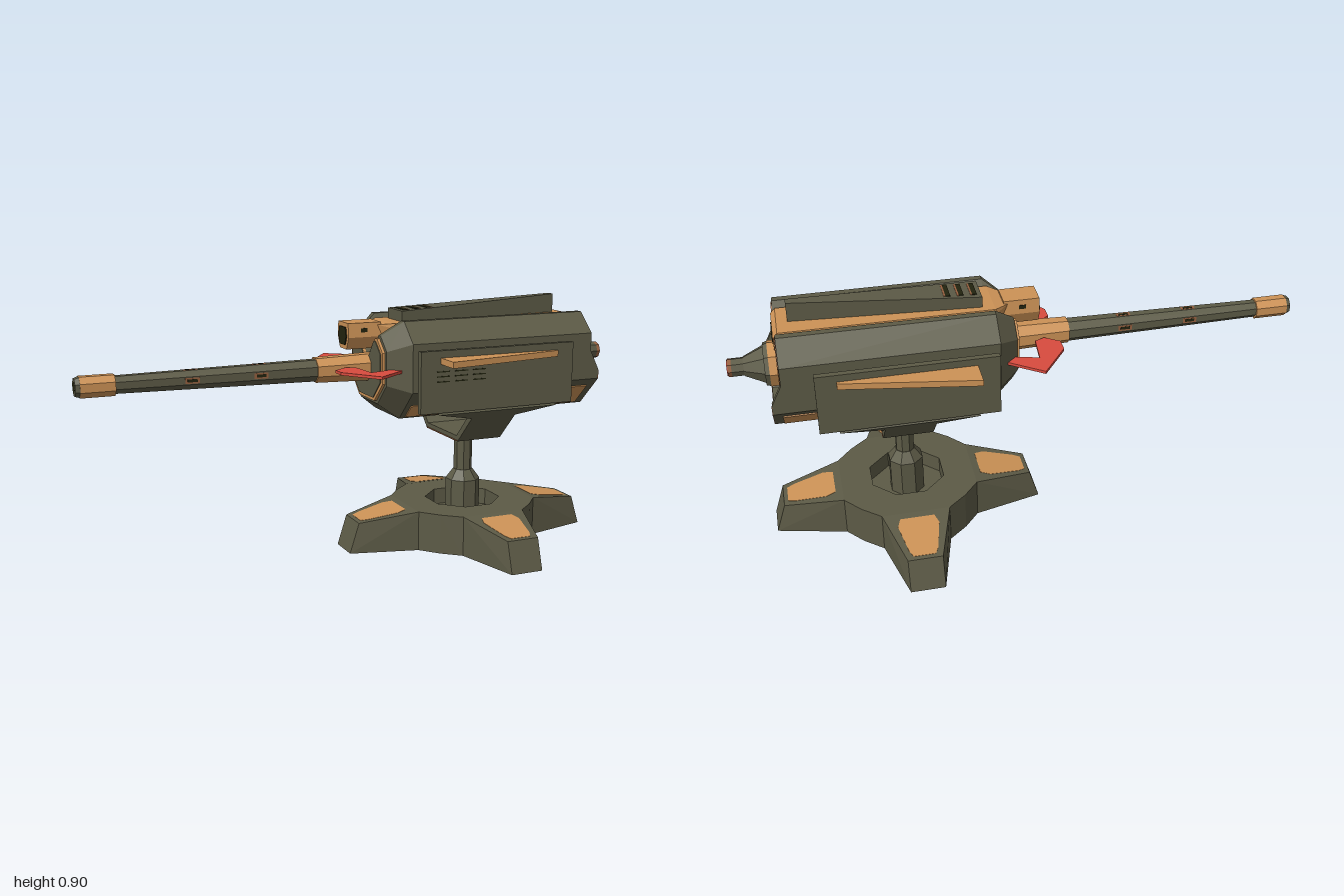
import * as THREE from 'three';
import { ConvexGeometry } from 'three/addons/geometries/ConvexGeometry.js';

const AXIS = 0.672; // height of the gun axis

export function createModel() {
  const root = new THREE.Group();
  root.name = 'mountedGun';
  const material = (name, color) => {
    const m = new THREE.MeshStandardMaterial({ color });
    m.name = name;
    return m;
  };
  const olive = material('olive', 0x5c5a46);
  const orange = material('orange', 0xcc9256);
  const red = material('red', 0xd84b3e);
  const rust = material('rust', 0x96603f);
  const dark = material('dark', 0x22230f);

  const add = (name, geometry, mat) => {
    const g = geometry.index ? geometry.toNonIndexed() : geometry;
    g.computeVertexNormals();
    const mesh = new THREE.Mesh(g, mat);
    mesh.name = name;
    root.add(mesh);
    return mesh;
  };
  const hull = (name, pts, mat) =>
    add(name, new ConvexGeometry(pts.map((p) => new THREE.Vector3(...p))), mat);
  const box = (name, x0, x1, y0, y1, z0, z1, mat) =>
    add(name, new THREE.BoxGeometry(x1 - x0, y1 - y0, z1 - z0)
      .translate((x0 + x1) / 2, (y0 + y1) / 2, (z0 + z1) / 2), mat);
  // Eight-sided tube along x
  const tube = (name, r0, r1, x0, x1, mat, turn = Math.PI / 8) =>
    add(name, new THREE.CylinderGeometry(r1, r0, x1 - x0, 8, 1, false, turn)
      .rotateZ(-Math.PI / 2).translate((x0 + x1) / 2, AXIS, 0), mat);
  // Eight-sided upright column
  const column = (name, r0, r1, y0, y1, x, mat) =>
    add(name, new THREE.CylinderGeometry(r1, r0, y1 - y0, 8, 1, false, Math.PI / 8)
      .translate(x, (y0 + y1) / 2, 0), mat);
  const shapeOf = (pts) => new THREE.Shape(pts.map((p) => new THREE.Vector2(...p)));
  // Mirror half of a [z, y] section into a closed outline
  const mirrored = (half) => [...half, ...half.map(([z, y]) => [-z, y]).reverse()];
  // Section run along x, scaled about the gun axis at each end
  const prism = (name, pts, x0, x1, mat, s0 = 1, s1 = 1) => {
    const g = new THREE.ExtrudeGeometry(shapeOf(pts), { depth: x1 - x0, bevelEnabled: false });
    g.rotateY(Math.PI / 2).translate(x0, 0, 0);
    const p = g.attributes.position;
    for (let i = 0; i < p.count; i++) {
      const s = p.getX(i) < (x0 + x1) / 2 ? s0 : s1;
      p.setY(i, AXIS + (p.getY(i) - AXIS) * s);
      p.setZ(i, p.getZ(i) * s);
    }
    return add(name, g, mat);
  };

  // Base: hub with an octagonal pit, four sloping arms
  const cx = 0.425;
  const rim = [];
  for (let k = 0; k < 4; k++) {
    const c = Math.round(Math.cos(k * Math.PI / 2)), s = Math.round(Math.sin(k * Math.PI / 2));
    for (const [u, v] of [[0.24, -0.12], [0.24, 0.12], [0.185, 0.185]])
      rim.push([u * c - v * s, u * s + v * c]);
    const at = (u, y, v) => [cx + u * c - v * s, y, u * s + v * c];
    const arm = [], patch = [];
    for (const e of [-1, 1]) {
      arm.push(at(0.24, 0, 0.12 * e), at(0.24, 0.145, 0.12 * e),
        at(0.45, 0.11, 0.06 * e), at(0.485, 0, 0.06 * e));
      for (const lift of [-0.005, 0.001]) {
        patch.push(at(0.265, 0.1408 + lift, 0.06 * e), at(0.3, 0.135 + lift, 0.072 * e),
          at(0.41, 0.1167 + lift, 0.05 * e), at(0.435, 0.1125 + lift, 0.038 * e));
      }
    }
    hull('baseArm', arm, olive);
    hull('baseArmPatch', patch, orange);
  }
  const hub = shapeOf(rim);
  const pit = [];
  for (let i = 0; i < 8; i++) {
    const a = (i + 0.5) * Math.PI / 4;
    pit.push(new THREE.Vector2(0.14 * Math.cos(a), 0.14 * Math.sin(a)));
  }
  hub.holes.push(new THREE.Path(pit));
  add('baseHub', new THREE.ExtrudeGeometry(hub, { depth: 0.145, bevelEnabled: false })
    .rotateX(-Math.PI / 2).translate(cx, 0, 0), olive);
  column('pitFloor', 0.141, 0.141, 0, 0.085, cx, olive);

  // Post
  column('postFoot', 0.064, 0.064, 0.085, 0.22, cx, olive);
  column('postTaper', 0.064, 0.036, 0.22, 0.257, cx, olive);
  column('post', 0.034, 0.034, 0.25, 0.4, cx, olive);

  // Yoke: floor, tapering cheeks, side plates and wedge fins
  box('yokeFloor', 0.335, 0.51, 0.395, 0.415, -0.12, 0.12, olive);
  for (const x of [0.335, 0.51])
    box('yokeFloorEdge', x - 0.002, x + 0.002, 0.395, 0.399, -0.12, 0.12, rust);
  for (const s of [-1, 1]) {
    const strip = (x0, x1, zo, yo, zi, yi) =>
      [[x0, yo, s * zo], [x1, yo, s * zo], [x0, yi, s * zi], [x1, yi, s * zi]];
    hull('yokeArm', [...strip(0.335, 0.51, 0.125, 0.395, 0.115, 0.415),
      ...strip(0.335, 0.51, 0.228, 0.5, 0.205, 0.508)], olive);
    hull('yokeTaper', [...strip(0.335, 0.51, 0.228, 0.5, 0.205, 0.508),
      ...strip(0.19, 0.66, 0.258, 0.53, 0.237, 0.545)], olive);
    const z0 = Math.min(s * 0.237, s * 0.258), z1 = Math.max(s * 0.237, s * 0.258);
    box('yokePlate', 0.12, 0.725, 0.537, 0.755, z0, z1, olive);
    const fin = [];
    for (const y of [0.708, 0.73])
      fin.push([0.195, y, s * 0.255], [0.195, y, s * 0.35], [0.655, y, s * 0.27], [0.655, y, s * 0.255]);
    hull('sideFin', fin, orange);

    // Worn patches on the lower body slopes
    for (const [x0, x1, t] of [[0.13, 0.26, 0.5], [0.71, 0.835, 0.75]]) {
      const pts = [];
      for (const x of [x0, x1])
        for (const f of [0.08, t])
          for (const o of [-0.003, 0.003])
            pts.push([x, 0.495 + 0.11 * f - o, s * (0.105 + 0.11 * f + o)]);
      hull('bodyPatch', pts, orange);
    }

    // Hooked prong beside the barrel
    const prong = [[-0.03, 0.27], [0.085, 0.185], [0.06, 0.155], [-0.03, 0.18],
      [-0.04, 0.07], [-0.075, 0.055], [-0.125, 0.09], [-0.125, 0.14]];
    add('prong', new THREE.ExtrudeGeometry(shapeOf(prong.map(([x, z]) => [x, z * s])),
      { depth: 0.01, bevelEnabled: false }).rotateX(-Math.PI / 2).translate(0, 0.673, 0), red);
  }
  // Slits in the front plate
  for (const x of [0.18, 0.25, 0.32])
    for (const y of [0.645, 0.663, 0.68])
      box('yokeSlit', x, x + 0.05, y, y + 0.004, 0.256, 0.2595, dark);

  // Body: octagonal section with a V notch along the top
  const section = mirrored([[0.035, 0.735], [0.115, 0.845], [0.14, 0.845],
    [0.215, 0.775], [0.215, 0.605], [0.105, 0.495]]);
  prism('bodyNose', section, 0.04, 0.11, olive, 0.7, 1);
  prism('body', section, 0.11, 0.83, olive);
  prism('noseTrim', section, 0.03, 0.041, orange, 0.64, 0.64);
  prism('nosePlate', section, 0.027, 0.032, olive, 0.58, 0.58);
  prism('rearTrim', section, 0.827, 0.832, rust, 0.94, 0.94);
  prism('rearPlate', section, 0.827, 0.834, orange, 0.915, 0.915);

  // Jutting lip around the lower rear edge, with a worn outer rim
  for (const [name, mat, x0, x1, t] of [['rearLip', olive, 0.825, 0.865, 0.018],
    ['rearLipEdge', rust, 0.862, 0.867, 0.005]]) {
    const topAt = (x) => 0.71 - (x - 0.83) * 2;
    const low = [[0.105, 0.495], [0.105 - t * 0.41, 0.495 + t]];
    const mid = [[0.215, 0.605], [0.215 - t, 0.605 + t * 0.41]];
    const both = (pts) => [x0, x1].flatMap((x) => pts.map(([z, y]) => [x, y, z]));
    hull(name + 'Bottom', both([...low, ...low.map(([z, y]) => [-z, y])]), mat);
    for (const s of [-1, 1]) {
      const flip = (pts) => pts.map(([x, y, z]) => [x, y, z * s]);
      hull(name + 'Slope', flip(both([...low, ...mid])), mat);
      hull(name + 'Side', flip([...both(mid), ...[x0, x1].flatMap((x) =>
        [[x, topAt(x), 0.215], [x, topAt(x), 0.215 - t]])]), mat);
    }
  }

  // Top rail filling the notch, with a dark opening at the rear
  const rail = [];
  for (const s of [-1, 1]) {
    for (const [x, back] of [[0.1, 0.1], [0.822, 0.838]])
      rail.push([x, 0.832, s * 0.085], [back, 0.814, s * 0.087], [back, 0.73, s * 0.026]);
    rail.push([0.05, 0.825, s * 0.045], [0.05, 0.74, s * 0.02]);
  }
  hull('topRail', rail, orange);
  prism('railOpening', mirrored([[0.03, 0.762], [0.042, 0.805]]), 0.835, 0.841, dark);

  // Tapering spine with cooling slots
  const spine = [];
  for (const s of [-1, 1])
    spine.push([0.14, 0.825, s * 0.06], [0.14, 0.87, s * 0.06],
      [0.785, 0.825, s * 0.015], [0.785, 0.9, s * 0.015]);
  hull('spine', spine, olive);
  for (const x of [0.155, 0.2, 0.245]) {
    const y = 0.87 + 0.0465 * (x - 0.14);
    box('spineSlot', x, x + 0.016, y - 0.005, y + 0.003, -0.04, 0.04, dark);
    box('spineSlotEdge', x + 0.016, x + 0.022, y - 0.005, y + 0.003, -0.04, 0.04, rust);
  }

  // Sight housing
  prism('sightHousing', mirrored([[0.03, 0.742], [0.05, 0.785], [0.045, 0.835]]), -0.06, 0.065, orange);
  prism('sightLens', mirrored([[0.022, 0.757], [0.035, 0.787], [0.027, 0.82]]), -0.064, -0.058, dark);
  for (const s of [-1, 1])
    box('sightPort', -0.012, 0.012, 0.802, 0.816, s * 0.046 - 0.003, s * 0.046 + 0.003, dark);

  // Barrel, muzzle and collar
  tube('barrelCollar', 0.046, 0.052, -0.17, 0.05, orange);
  tube('barrel', 0.031, 0.041, -0.88, -0.16, olive);
  tube('muzzle', 0.038, 0.038, -0.985, -0.87, orange);
  tube('muzzleTip', 0.031, 0.036, -1, -0.985, olive);
  tube('muzzleBore', 0.019, 0.019, -1.0, -0.99, dark).position.x = -0.0005;

  // Worn vents on four sides of the barrel
  for (const [x, r] of [[-0.64, 0.0318], [-0.4, 0.0347]])
    for (let k = 0; k < 4; k++)
      for (const [name, mat, inset, half, lift] of [['barrelWear', rust, 0, 0.01, 0.001],
        ['barrelVent', dark, 0.008, 0.005, 0.002]]) {
        const vent = new THREE.BoxGeometry(0.05 - 2 * inset, 0.006, 2 * half)
          .translate(x + 0.025, r - 0.003 + lift, 0).rotateX(k * Math.PI / 2).translate(0, AXIS, 0);
        add(name, vent, mat);
      }

  // Rear nozzle
  tube('nozzleSeat', 0.08, 0.08, 0.83, 0.862, orange, 0);
  tube('nozzleFlange', 0.079, 0.074, 0.862, 0.877, olive, 0);
  tube('nozzleCone', 0.066, 0.034, 0.877, 0.945, olive, 0);
  tube('nozzleTip', 0.032, 0.032, 0.945, 0.985, olive, 0);
  tube('nozzleRim', 0.032, 0.032, 0.985, 0.997, rust, 0);
  tube('nozzleEnd', 0.028, 0.028, 0.994, 1, red, 0);

  return root;
}
